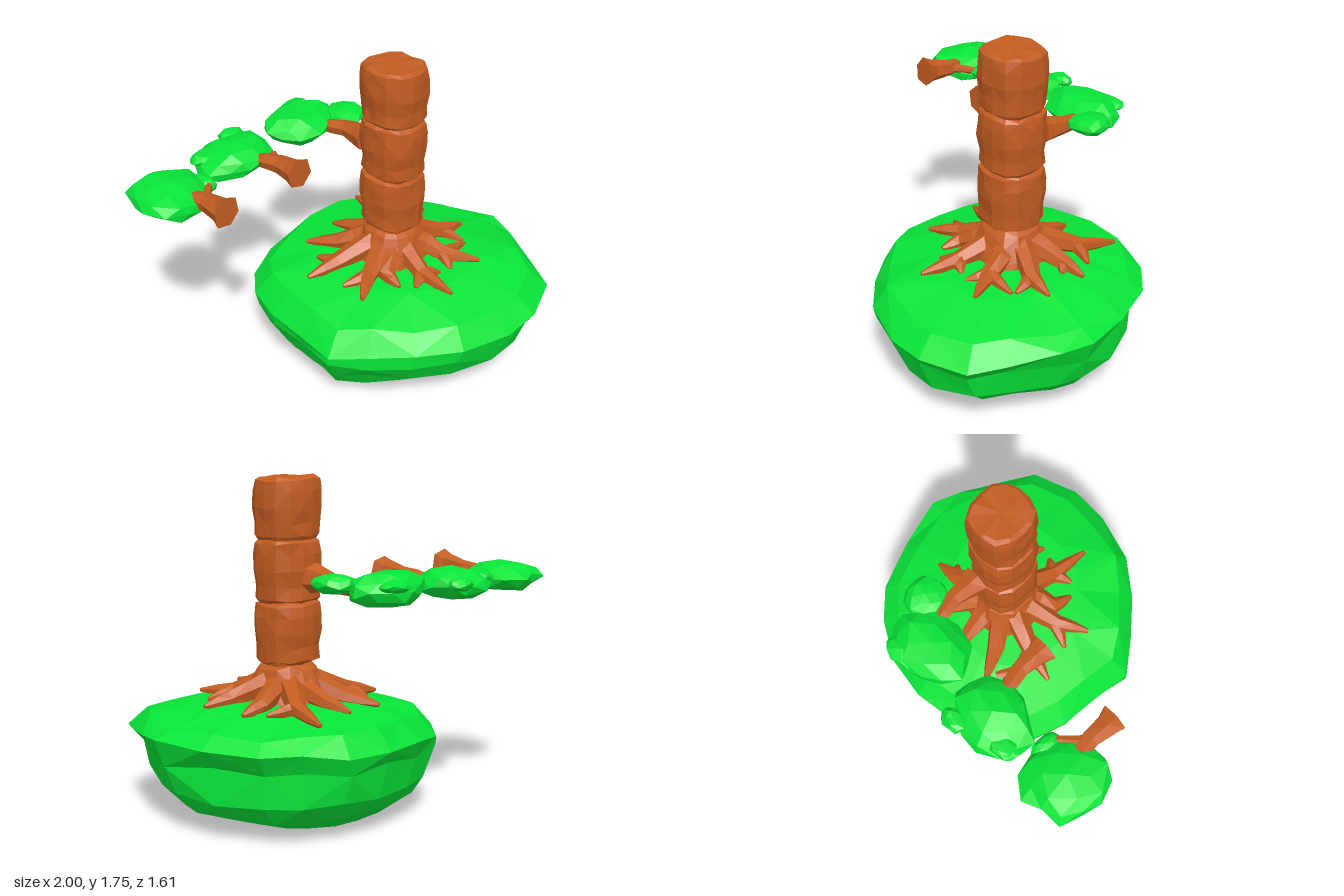
import * as THREE from 'three';

const green = new THREE.MeshStandardMaterial({ color: 0x08e438, flatShading: true });
const brown = new THREE.MeshStandardMaterial({ color: 0xc25c22, flatShading: true });
const V = (x, y, z) => new THREE.Vector3(x, y, z);

// repeatable noise in -1..1
function noise(a, b, c) {
  const s = Math.sin(a * 127.1 + b * 311.7 + c * 74.7) * 43758.5453;
  return (s - Math.floor(s)) * 2 - 1;
}

// closed skin over a list of rings, each an equal-length list of points
function loft(rings) {
  const n = rings[0].length, last = rings.length - 1;
  const pos = rings.flat().flatMap(p => [p.x, p.y, p.z]), idx = [];
  for (let r = 0; r < last; r++) {
    for (let i = 0; i < n; i++) {
      const a = r * n + i, b = r * n + (i + 1) % n;
      if ((r + i) % 2) idx.push(a, a + n, b, b, a + n, b + n);
      else idx.push(a, b + n, b, a, a + n, b + n);
    }
  }
  [0, last].forEach(r => {
    const c = rings[r].reduce((s, p) => s.add(p), V(0, 0, 0)).divideScalar(n);
    const k = pos.length / 3;
    pos.push(c.x, c.y, c.z);
    for (let i = 0; i < n; i++) {
      const a = r * n + i, b = r * n + (i + 1) % n;
      if (r === 0) idx.push(k, a, b); else idx.push(k, b, a);
    }
  });
  const g = new THREE.BufferGeometry();
  g.setAttribute('position', new THREE.Float32BufferAttribute(pos, 3));
  g.setIndex(idx);
  const flat = g.toNonIndexed();
  flat.computeVertexNormals();
  return flat;
}

// six-sided tapering limb through points with a radius at each
function limb(points, radii) {
  return loft(points.map((p, i) => {
    const t = points[Math.min(i + 1, points.length - 1)].clone().sub(points[Math.max(i - 1, 0)]).normalize();
    const u = t.clone().cross(V(0, 1, 0)).normalize(), v = u.clone().cross(t);
    return Array.from({ length: 6 }, (_, k) => {
      const a = (k / 6) * Math.PI * 2 + 0.75, r = radii[i] * (1 + 0.08 * noise(i, k, p.x));
      return p.clone().addScaledVector(u, Math.cos(a) * r).addScaledVector(v, Math.sin(a) * r);
    });
  }));
}

// rounded-square column from [y, radius] pairs
function column(profile, seed, wobble, tilt = 0) {
  const n = 14;
  return loft(profile.map(([y, r], j) => Array.from({ length: n }, (_, i) => {
    const a = (i / n) * Math.PI * 2, c = Math.cos(a), s = Math.sin(a);
    const rr = r * Math.pow(c ** 4 + s ** 4, -0.16) * (1 + wobble * noise(i, j, seed));
    return V(0.235 + c * rr, y - c * tilt + 0.006 * noise(j, i, seed), s * rr * 1.04);
  })));
}

// faceted flattened leaf clump
function clump(x, y, z, rx, ry, rz, seed) {
  const g = new THREE.IcosahedronGeometry(1, 1), p = g.attributes.position;
  g.rotateY(seed);
  for (let i = 0; i < p.count; i++) {
    const q = V(0, 0, 0).fromBufferAttribute(p, i);
    const k = 1 + 0.12 * noise(Math.round(q.x * 50), Math.round(q.y * 50), Math.round(q.z * 50) + seed);
    p.setXYZ(i, x + q.x * k * rx, y + q.y * k * ry, z + q.z * k * rz);
  }
  g.computeVertexNormals();
  return g;
}

export function createModel() {
  const model = new THREE.Group();
  const add = (name, geometry, material, parent = model) => {
    const m = new THREE.Mesh(geometry, material);
    m.name = name;
    parent.add(m);
  };

  // faceted mound: one outline through [y, scale, x shift, z shift, tilt] levels
  const outline = [[1, 0.12], [0.95, 0.28], [0.84, 0.52], [0.75, 0.7], [0.5, 0.8], [0.28, 0.8], [0, 0.72],
    [-0.2, 0.57], [-0.37, 0.39], [-0.5, 0.23], [-0.48, 0], [-0.47, -0.22], [-0.41, -0.42], [-0.28, -0.57],
    [-0.08, -0.65], [0.2, -0.7], [0.45, -0.67], [0.65, -0.56], [0.8, -0.42], [0.92, -0.15]];
  const levels = [[0.006, 0.24, -0.02, -0.03, 0], [0.035, 0.57, -0.06, -0.06, 0], [0.11, 0.77, -0.02, -0.05, 0],
    [0.21, 0.88, 0, -0.02, 0], [0.365, 0.95, -0.03, 0, 0.01], [0.445, 1, 0, 0, 0.035],
    [0.54, 0.87, 0, 0, 0], [0.603, 0.53, 0, 0, 0], [0.625, 0.22, 0, 0, 0]];
  add('mound', loft(levels.map(([y, s, sx, sz, tilt], j) => outline.map(([x, z], i) => {
    const k = s === 1 ? 1 : s * (1 + 0.025 * noise(i, j, 3));
    const dy = j > 1 && j < 7 ? 0.02 * noise(j, i, 8) : 0;
    return V(0.25 + sx + (x - 0.25) * k, y + dy + tilt * (x - 0.25 - 0.4 * z) / 0.75, 0.04 + sz + (z - 0.04) * k);
  }))), green);

  // stump and three stacked trunk sections
  add('stump', column([[0.58, 0.215], [0.65, 0.19], [0.71, 0.163], [0.775, 0.14], [0.795, 0.115]], 2, 0.04), brown);
  for (let i = 0; i < 3; i++) {
    const y = 0.81 + i * 0.314;
    add('trunkSection', column([[y, 0.135], [y + 0.015, 0.147], [y + 0.08, 0.146], [y + 0.16, 0.156],
      [y + 0.24, 0.152], [y + 0.296, 0.146], [y + 0.309, 0.13]], i + 5, 0.035, 0.008), brown);
  }

  // roots: [bend, knuckle, tip, side tips]
  const roots = new THREE.Group();
  roots.name = 'roots';
  model.add(roots);
  [
    [[0.04, -0.07], [-0.08, -0.11], [-0.26, -0.15], [-0.1, -0.24]],
    [[0.12, -0.16], [0.06, -0.24], [-0.03, -0.4]],
    [[0.24, -0.17], [0.23, -0.27], [0.2, -0.42]],
    [[0.36, -0.18], [0.44, -0.29], [0.49, -0.51], [0.58, -0.23]],
    [[0.42, -0.08], [0.52, -0.12], [0.65, -0.13], [0.57, -0.06]],
    [[0.43, 0.06], [0.53, 0.11], [0.68, 0.13], [0.56, 0.24]],
    [[0.34, 0.16], [0.37, 0.26], [0.47, 0.43], [0.55, 0.26], [0.31, 0.36]],
    [[0.19, 0.17], [0.16, 0.29], [0.14, 0.51], [0.25, 0.34], [0.06, 0.33]],
    [[0.1, 0.12], [0.02, 0.16], [0, 0.27]],
    [[0.06, 0.06], [-0.06, 0.1], [-0.21, 0.2], [-0.19, 0.04]],
  ].forEach(([bend, knuckle, tip, ...forks]) => {
    const start = V(0.235, 0.7, 0).lerp(V(bend[0], 0.7, bend[1]), 0.5);
    const b = V(bend[0], 0.667, bend[1]), k = V(knuckle[0], 0.628, knuckle[1]);
    const end = V(tip[0], 0.607 + tip[1] * 0.03, tip[1]);
    const near = k.clone().lerp(end, 0.5);
    add('root', limb([start, b, k, near, end], [0.073, 0.058, 0.048, 0.033, 0.011]), brown, roots);
    forks.forEach(f => {
      const e = V(f[0], 0.608, f[1]);
      add('rootFork', limb([k.clone().lerp(b, 0.1), k.clone().lerp(e, 0.5), e], [0.04, 0.032, 0.011]), brown, roots);
    });
  });

  // three leafy branches: stalk position, then clumps
  [
    { x: 0.23, twig: [0.32, -0.43], leaves: [[0.12, 1.22, -0.59, 0.225, 0.09, 0.17], [0.33, 1.25, -0.44, 0.105, 0.05, 0.11], [0.19, 1.245, -0.7, 0.1, 0.035, 0.07]] },
    { x: -0.265, twig: [-0.2, -0.45], leaves: [[-0.34, 1.21, -0.6, 0.22, 0.083, 0.175], [-0.48, 1.235, -0.67, 0.085, 0.03, 0.06], [-0.23, 1.225, -0.75, 0.075, 0.035, 0.055]] },
    { x: -0.75, twig: [-0.63, -0.46], leaves: [[-0.8, 1.21, -0.55, 0.2, 0.08, 0.22], [-0.62, 1.215, -0.51, 0.052, 0.04, 0.085]] },
  ].forEach(({ x, twig, leaves }, i) => {
    const branch = new THREE.Group();
    branch.name = 'branch';
    model.add(branch);
    add('stalk', limb([V(x, 1.246, -0.187), V(x, 1.243, -0.24), V(x + 0.005, 1.235, -0.34), V(x - 0.01, 1.225, -0.42), V(x - 0.03, 1.21, -0.52)],
      [0.082, 0.062, 0.047, 0.045, 0.03]), brown, branch);
    add('twig', limb([V(x, 1.235, -0.35), V(twig[0], 1.225, twig[1])], [0.03, 0.018]), brown, branch);
    leaves.forEach((l, j) => add('leafClump', clump(...l, i * 3 + j + 1), green, branch));
  });
  return model;
}
